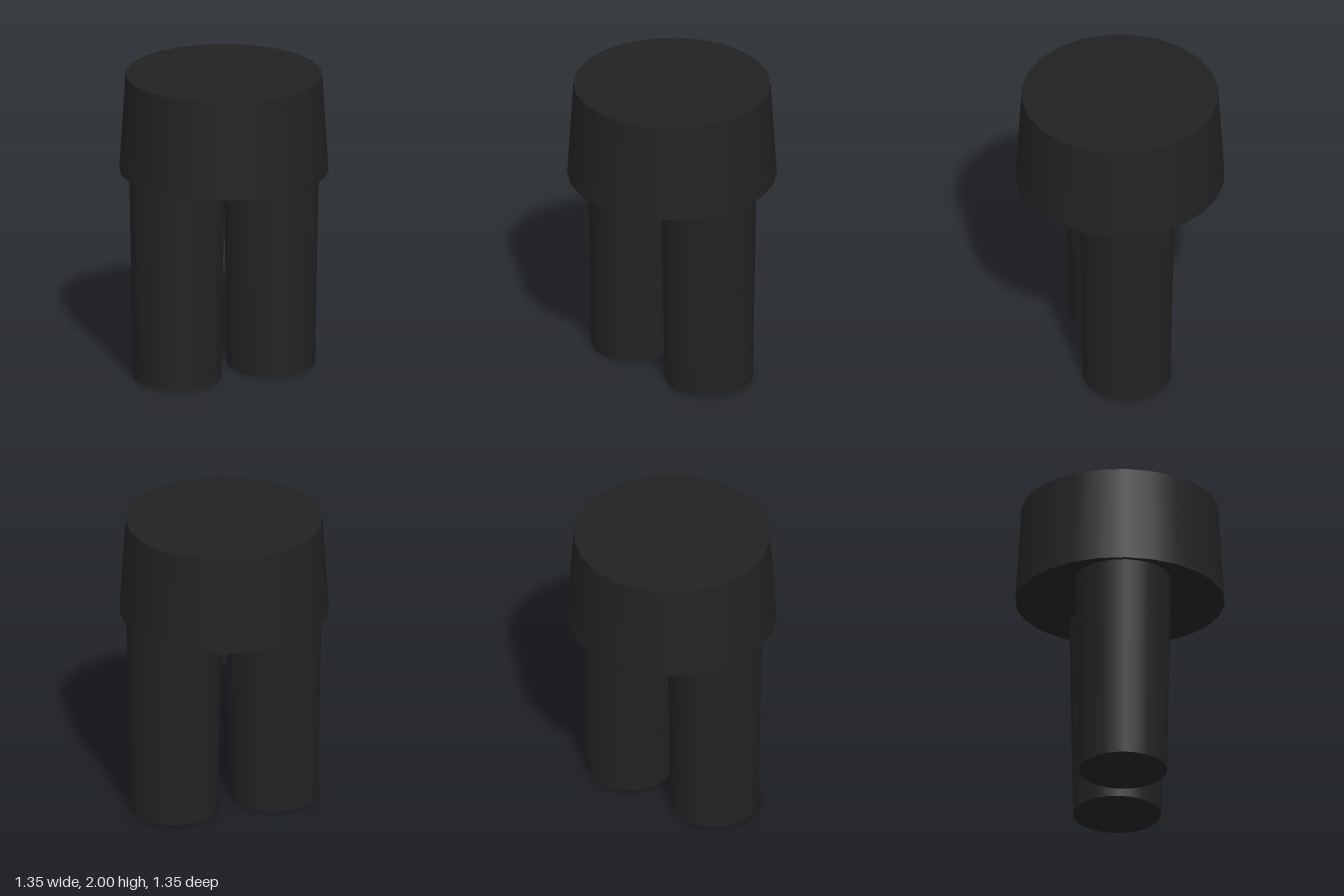
import * as THREE from 'three';

export function createModel() {
  const model = new THREE.Group();
  model.name = 'trousers';
  const fabric = new THREE.MeshStandardMaterial({ color: 0x222222 });
  fabric.name = 'black fabric';

  // Upright tapered cylinder standing between two heights
  const taper = (name, topRadius, bottomRadius, y0, y1, x) => {
    const geometry = new THREE.CylinderGeometry(topRadius, bottomRadius, y1 - y0, 24);
    const mesh = new THREE.Mesh(geometry, fabric);
    mesh.name = name;
    mesh.position.set(x, (y0 + y1) / 2, 0);
    model.add(mesh);
  };

  // Wide hip section, narrowing to the waist
  taper('hips', 0.635, 0.675, 1.355, 2, 0);

  // Two legs, narrowing to the ankle and seated just inside the hips
  for (const [name, side] of [['leftLeg', 1], ['rightLeg', -1]]) {
    taper(name, 0.308, 0.284, 0, 1.37, side * 0.3375);
  }
  return model;
}
